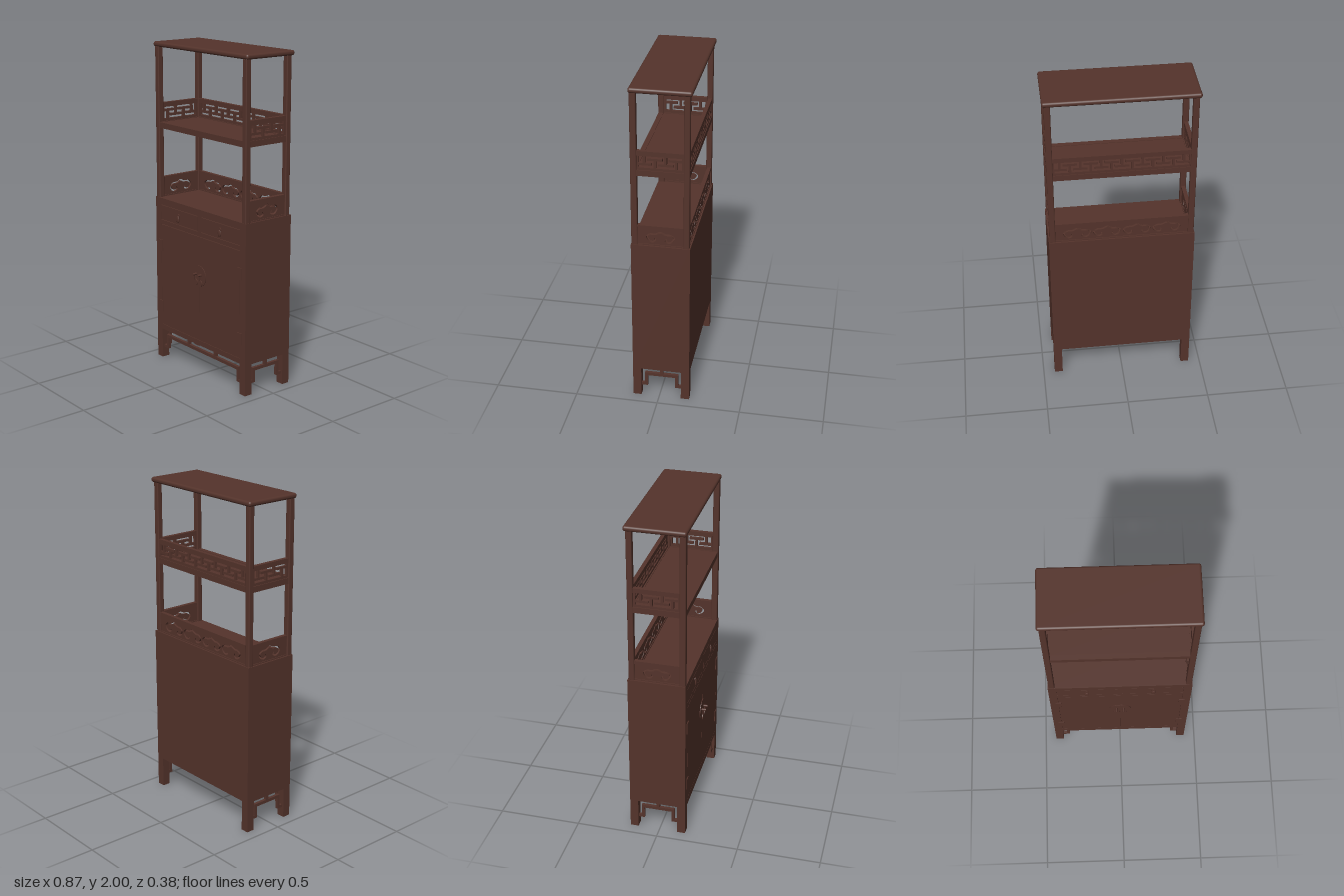
import * as THREE from 'three';
import { RoundedBoxGeometry } from 'three/addons/geometries/RoundedBoxGeometry.js';

export function createModel() {
  const root = new THREE.Group();
  root.name = 'displayCabinet';
  const wood = new THREE.MeshStandardMaterial({ color: 0x54332b });
  wood.name = 'darkWood';

  const add = (name, geometry, parent = root) => {
    const mesh = new THREE.Mesh(geometry, wood);
    mesh.name = name;
    parent.add(mesh);
    return mesh;
  };
  // Box given by its limits on each axis
  const box = (name, x0, x1, y0, y1, z0, z1, parent = root, radius = 0) => {
    const s = [x1 - x0, y1 - y0, z1 - z0];
    const g = radius ? new RoundedBoxGeometry(...s, 3, radius) : new THREE.BoxGeometry(...s);
    const mesh = add(name, g, parent);
    mesh.position.set((x0 + x1) / 2, (y0 + y1) / 2, (z0 + z1) / 2);
    return mesh;
  };
  const group = (name, x, y, z, turn = 0) => {
    const g = new THREE.Group();
    g.name = name;
    g.position.set(x, y, z);
    g.rotation.y = turn;
    root.add(g);
    return g;
  };

  // Top board, posts and middle shelf
  box('topBoard', -0.437, 0.437, 1.97, 2, -0.19, 0.163, root, 0.013);
  for (const s of [-1, 1]) {
    const [x0, x1] = s < 0 ? [-0.425, -0.39] : [0.39, 0.425];
    box('frontPost', x0, x1, 1.04, 1.975, 0.122, 0.158, root, 0.006);
    box('backPost', x0, x1, 1.04, 1.975, -0.177, -0.143, root, 0.006);
    box('shelfSideRail', x0 + 0.003, x1 - 0.003, 1.48, 1.515, -0.145, 0.125);
  }
  box('shelfFrontRail', -0.395, 0.395, 1.48, 1.515, 0.125, 0.155);
  box('shelfBackRail', -0.395, 0.395, 1.48, 1.515, -0.174, -0.146);
  box('shelfBoard', -0.395, 0.395, 1.487, 1.512, -0.15, 0.13);

  // Gallery with interlocking T-shaped bars, drawn along local x
  const fretGallery = (g, length, count) => {
    const h = length / 2, d = 0.008, o = h - 0.014;
    box('galleryTopRail', -h, h, 0.09, 0.118, -0.012, 0.012, g);
    box('galleryBottomRail', -h, h, 0, 0.018, -d, d, g);
    for (const s of [-1, 1]) box('galleryEndRail', s * (h - 0.007) - 0.007, s * (h - 0.007) + 0.007, 0.01, 0.1, -d, d, g);
    const step = (2 * o) / count, t = 0.007, arm = step - t - 0.011;
    for (let i = 0; i < count; i++) {
      const x = -o + step * (i + 0.5), up = i % 2;
      box('fretStem', x - t, x + t, up ? 0.012 : 0.032, up ? 0.076 : 0.096, -d, d, g);
      const y = up ? 0.062 : 0.032;
      box('fretArm', Math.max(-o, x - arm), Math.min(o, x + arm), y, y + 0.014, -d, d, g);
    }
  };
  fretGallery(group('backFretGallery', 0, 1.512, -0.162), 0.79, 13);

  // Scroll-shaped slot: a curved centre line widened to both sides
  const cloudSlot = (cx, cy) => {
    const half = [[-0.034, 0.032], [-0.03, 0.017], [-0.048, 0.008], [-0.068, 0.018],
      [-0.077, 0.04], [-0.058, 0.056], [-0.028, 0.058]];
    const pts = [...half, [0, 0.07], ...half.map(([x, y]) => [-x, y]).reverse()];
    const curve = new THREE.SplineCurve(pts.map(([x, y]) => new THREE.Vector2(x + cx, y + cy)));
    const left = [], right = [], n = 64;
    for (let i = 0; i <= n; i++) {
      const p = curve.getPoint(i / n), t = curve.getTangent(i / n);
      const w = 0.0055 * Math.min(1, 0.3 + 10 * Math.min(i / n, 1 - i / n));
      left.push(new THREE.Vector2(p.x - t.y * w, p.y + t.x * w));
      right.push(new THREE.Vector2(p.x + t.y * w, p.y - t.x * w));
    }
    return new THREE.Path([...left, ...right.reverse()]);
  };
  const cloudGallery = (g, length, count) => {
    const h = length / 2;
    const shape = new THREE.Shape();
    shape.moveTo(-h, 0).lineTo(h, 0).lineTo(h, 0.12).lineTo(-h, 0.12).closePath();
    for (let i = 0; i < count; i++) shape.holes.push(cloudSlot((i - (count - 1) / 2) * 0.175, 0.018));
    const geo = new THREE.ExtrudeGeometry(shape, { depth: 0.014, bevelEnabled: false });
    geo.translate(0, 0, -0.007);
    add('cloudPanel', geo, g);
    box('galleryTopRail', -h, h, 0.108, 0.128, -0.012, 0.012, g);
    box('galleryBottomRail', -h, h, 0, 0.01, -0.012, 0.012, g);
  };
  cloudGallery(group('backCloudGallery', 0, 1.042, -0.162), 0.79, 4);
  for (const s of [-1, 1]) {
    fretGallery(group('sideFretGallery', s * 0.408, 1.512, -0.01, s * Math.PI / 2), 0.27, 4);
    cloudGallery(group('sideCloudGallery', s * 0.408, 1.042, -0.01, s * Math.PI / 2), 0.27, 1);
  }

  // Cabinet body, with front frame, drawers and doors parted by fine gaps
  box('cabinetBody', -0.43, 0.43, 0.19, 1.045, -0.183, 0.152);
  const f0 = 0.15, f1 = 0.16;
  box('frontTopRail', -0.38, 0.38, 1.003, 1.045, f0, f1);
  box('frontMiddleRail', -0.38, 0.38, 0.88, 0.907, f0, f1);
  box('frontBottomRail', -0.38, 0.38, 0.19, 0.222, f0, f1);
  box('drawerDivider', -0.015, 0.015, 0.9, 1.01, f0, f1);
  for (const s of [-1, 1]) {
    const span = (name, a, b, y0, y1, z0, z1) =>
      box(name, Math.min(s * a, s * b), Math.max(s * a, s * b), y0, y1, z0, z1);
    span('frontStile', 0.38, 0.43, 0.19, 1.045, f0, f1);
    span('drawerFront', 0.017, 0.378, 0.91, 1.0, f0, f1);
    span('door', 0.001, 0.378, 0.224, 0.877, f0, f1);
    for (const y of [0.345, 0.742]) span('hinge', 0.362, 0.398, y - 0.036, y + 0.036, f1, 0.165);

    // Drawer pull: small rose with a hanging drop
    const rose = add('drawerRose', new THREE.CylinderGeometry(0.011, 0.011, 0.004, 20));
    rose.rotation.x = Math.PI / 2;
    rose.position.set(s * 0.2, 0.966, 0.162);
    const drop = add('drawerDrop', new THREE.SphereGeometry(0.014, 16, 10));
    drop.scale.set(1, 1.6, 0.35);
    drop.position.set(s * 0.2, 0.943, 0.166);

    // Door pull: knob and hanging round drop
    const knob = add('doorKnob', new THREE.CylinderGeometry(0.007, 0.007, 0.028, 14));
    knob.rotation.x = Math.PI / 2;
    knob.position.set(s * 0.022, 0.644, 0.176);
    const link = add('doorPullLink', new THREE.CylinderGeometry(0.004, 0.004, 0.03, 8));
    link.position.set(s * 0.022, 0.625, 0.172);
    const pull = add('doorPull', new THREE.CylinderGeometry(0.021, 0.021, 0.006, 24));
    pull.rotation.x = Math.PI / 2;
    pull.position.set(s * 0.022, 0.594, 0.172);

    // Half of the round lock plate
    const plate = add('lockPlate', new THREE.CylinderGeometry(0.066, 0.066, 0.004, 28, 1, false, s > 0 ? 0 : Math.PI, Math.PI));
    plate.rotation.x = Math.PI / 2;
    plate.position.set(s * 0.001, 0.635, 0.162);

    // Legs
    span('frontLeg', 0.38, 0.43, 0, 0.2, 0.11, 0.16);
    span('backLeg', 0.38, 0.43, 0, 0.2, -0.183, -0.133);
  }

  // Stepped openwork apron: half is the distance to the legs, drop the upright
  const apron = (g, half, drop, hangers) => {
    const d = 0.009, w = 0.009;
    box('apronBar', -drop - w, drop + w, 0.137, 0.156, -d, d, g);
    for (const x of hangers) box('apronHanger', x - 0.01, x + 0.01, 0.15, 0.195, -d, d, g);
    for (const s of [-1, 1]) {
      box('apronUpright', s * drop - w, s * drop + w, 0.064, 0.15, -d, d, g);
      const a = s * drop, b = s * (half + 0.005);
      box('apronFoot', Math.min(a, b), Math.max(a, b), 0.064, 0.081, -d, d, g);
    }
  };
  apron(group('frontApron', 0, 0, 0.138), 0.38, 0.345, [-0.13, 0.13]);
  for (const s of [-1, 1]) apron(group('sideApron', s * 0.408, 0, -0.012, s * Math.PI / 2), 0.122, 0.093, [0]);

  return root;
}
